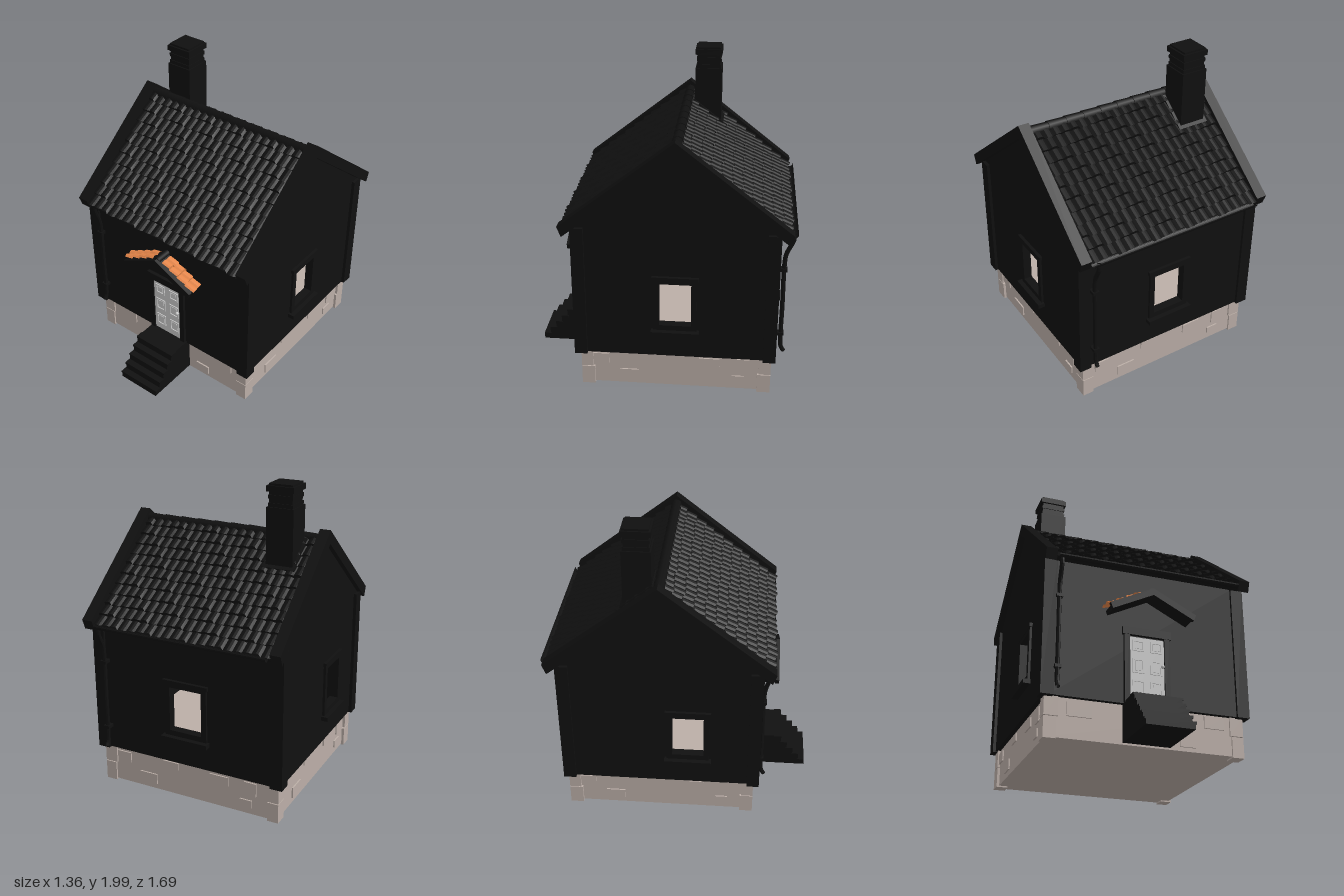
import * as THREE from 'three';

const mat = (color, extra = {}) => new THREE.MeshStandardMaterial({ color, ...extra });
const dark = mat(0x101010);
const darkTile = mat(0x101010, { flatShading: true, side: THREE.DoubleSide });
const orangeTile = mat(0xe8874a, { flatShading: true, side: THREE.DoubleSide });
const stone = mat(0xbbaea7);
const grey = mat(0xcccccc);

const ZC = -0.105;      // depth of the ridge line
const SLOPE = 0.787;    // roof rise over run
const RIDGE = 1.705;

function add(parent, name, geometry, material, x = 0, y = 0, z = 0) {
  const m = new THREE.Mesh(geometry, material);
  m.name = name;
  m.position.set(x, y, z);
  parent.add(m);
  return m;
}
const box = (parent, name, material, w, h, d, x, y, z) =>
  add(parent, name, new THREE.BoxGeometry(w, h, d), material, x, y, z);

function extrude(points, depth, hole) {
  const toV = (p) => new THREE.Vector2(p[0], p[1]);
  const shape = new THREE.Shape(points.map(toV));
  if (hole) shape.holes.push(new THREE.Path(hole.map(toV)));
  return new THREE.ExtrudeGeometry(shape, { depth, bevelEnabled: false });
}
const rect = (x0, y0, x1, y1) => [[x0, y0], [x1, y0], [x1, y1], [x0, y1]];

// Inverted V with square-cut ends, apex at (0, 0)
const chevron = (run, slope, drop, cut) => [
  [0, 0], [-run, -run * slope], [-run + cut, -(run - cut) * slope - drop],
  [0, -drop], [run - cut, -(run - cut) * slope - drop], [run, -run * slope],
];

// Overlapping rows of rounded tiles: x across, +z down the slope, y outward
function tileField(width, length, rows, cols, lift) {
  const seg = 4, n = cols * seg, pos = [], idx = [];
  for (let r = 0; r < rows; r++) {
    for (let e = 0; e < 2; e++) {
      for (let i = 0; i <= n; i++) {
        const tile = Math.floor(i / seg);
        const jitter = ((tile * 7 + r * 5) % 4 - 1.5) * 0.005 * e;
        const wave = Math.sin((i % seg) / seg * Math.PI) * lift * 0.7;
        pos.push((i / n - 0.5) * width, wave + e * lift, (r + e) * length / rows + jitter);
      }
    }
  }
  for (let j = 0; j < rows * 2 - 1; j++) {
    for (let i = 0; i < n; i++) {
      const a = j * (n + 1) + i, b = a + n + 1;
      idx.push(a, b, b + 1, a, b + 1, a + 1);
    }
  }
  const g = new THREE.BufferGeometry();
  g.setAttribute('position', new THREE.Float32BufferAttribute(pos, 3));
  g.setIndex(idx);
  g.computeVertexNormals();
  return g;
}

function foundation(root) {
  const g = new THREE.Group();
  g.name = 'foundation';
  g.position.z = -0.11;
  root.add(g);
  box(g, 'foundationBlock', stone, 1.21, 0.255, 1.19, 0, 0.1425, 0);
  // raised stones: [along, height, width, tall]
  const front = [[-0.41, 0.19, 0.155, 0.085], [0.435, 0.21, 0.13, 0.08], [0.26, 0.07, 0.1, 0.06]];
  const side = [[-0.48, 0.195, 0.1, 0.07], [-0.13, 0.215, 0.105, 0.05], [0.215, 0.2, 0.13, 0.06],
    [0.43, 0.19, 0.08, 0.09], [-0.3, 0.085, 0.125, 0.07], [0.4, 0.085, 0.08, 0.05]];
  [front, side, side, side].forEach((list, k) => {
    const face = new THREE.Group();
    face.name = 'wallStones';
    face.rotation.y = k * Math.PI / 2;
    g.add(face);
    for (const [u, y, w, h] of list) box(face, 'raisedStone', stone, w, h, 0.03, u, y, k % 2 ? 0.599 : 0.589);
  });
  // corner stones alternate their long side
  for (const sx of [-1, 1]) for (const sz of [-1, 1]) for (let i = 0; i < 2; i++) {
    const w = i ? 0.085 : 0.075, d = i ? 0.075 : 0.085;
    box(g, 'cornerStone', stone, w, 0.128, d, sx * (0.622 - w / 2), 0.07 + i * 0.133, sz * (0.606 - d / 2));
  }
}

function windowUnit(root, x, z, turn, w) {
  const g = new THREE.Group();
  g.name = 'window';
  g.position.set(x, 0, z);
  g.rotation.y = turn;
  root.add(g);
  const o = w / 2;
  add(g, 'windowCasing', extrude(rect(-o - 0.035, 0.45, o + 0.035, 0.81), 0.055, rect(-o, 0.485, o, 0.775)), dark, 0, 0, -0.04);
  box(g, 'windowSill', dark, w + 0.1, 0.028, 0.07, 0, 0.435, 0.01);
  box(g, 'windowHead', dark, w + 0.09, 0.025, 0.04, 0, 0.81, 0);
}

function walls(root) {
  // gable walls with a window opening, drawn as (z, y)
  for (const [s, wz] of [[1, -0.107], [-1, 0.07]]) {
    const f = ZC + 0.62, b = ZC - 0.62;
    const outline = [[b, 0.255], [f, 0.255], [f, 1.13], [ZC, 1.62], [b, 1.13]];
    const m = add(root, 'gableWall', extrude(outline, 0.04, rect(wz - 0.1, 0.485, wz + 0.1, 0.775)), dark, s > 0 ? 0.635 : -0.595);
    m.rotation.y = -Math.PI / 2;
    windowUnit(root, s * 0.635, wz, s * Math.PI / 2, 0.2);
  }
  add(root, 'backWall', extrude(rect(-0.6, 0.255, 0.6, 1.13), 0.04, rect(-0.11, 0.485, 0.11, 0.775)), dark, 0, 0, ZC - 0.62);
  windowUnit(root, 0, ZC - 0.62, Math.PI, 0.22);
  box(root, 'frontWall', dark, 1.2, 0.875, 0.04, 0, 0.6925, ZC + 0.6);
  for (const sx of [-1, 1]) for (const sz of [-1, 1]) {
    box(root, 'cornerBoard', dark, 0.08, 0.88, 0.08, sx * 0.615, 0.69, ZC + sz * 0.597);
  }
}

function roof(root) {
  const angle = Math.atan(SLOPE);
  const deck = add(root, 'roofDeck', extrude(chevron(0.69, SLOPE, 0.04, 0.02), 1.21), dark, 0.605, RIDGE - 0.05, ZC);
  deck.rotation.y = -Math.PI / 2;
  for (const s of [-1, 1]) {
    const barge = add(root, 'bargeBoard', extrude(chevron(0.71, SLOPE, 0.085, 0.025), 0.07), dark, s > 0 ? 0.675 : -0.595, RIDGE, ZC);
    barge.rotation.y = -Math.PI / 2;
    // tiled slope
    const half = new THREE.Group();
    half.name = 'roofSlope';
    half.position.set(0, RIDGE - 0.05, ZC);
    half.rotation.y = s > 0 ? 0 : Math.PI;
    root.add(half);
    add(half, 'roofTiles', tileField(1.2, 0.88, 11, 20, 0.018), darkTile).rotation.x = angle;
  }
  // rounded ridge tiles
  for (let i = 0; i < 10; i++) {
    const cap = new THREE.CylinderGeometry(0.032, 0.037, 0.125, 8);
    add(root, 'ridgeTile', cap, dark, -0.54 + i * 0.12, RIDGE - 0.063, ZC).rotation.z = Math.PI / 2;
  }
}

function rainwater(root) {
  // a gutter along each eave, a downpipe at opposite corners
  for (const [s, gz, pz, x] of [[1, 0.575, 0.537, -0.56], [-1, -0.815, -0.768, 0.56]]) {
    const gutter = new THREE.CylinderGeometry(0.025, 0.025, 1.18, 10, 1, true, Math.PI, Math.PI);
    add(root, 'gutter', gutter, darkTile, 0.01, 1.125, gz).rotation.z = Math.PI / 2;
    const path = [[1.11, gz], [1.07, gz], [0.98, pz + s * 0.008], [0.93, pz], [0.6, pz], [0.35, pz], [0.32, pz + s * 0.005], [0.29, pz + s * 0.022]]
      .map(([y, z]) => new THREE.Vector3(x, y, z));
    add(root, 'downpipe', new THREE.TubeGeometry(new THREE.CatmullRomCurve3(path), 40, 0.014, 8), darkTile);
    for (const y of [0.42, 0.87]) box(root, 'pipeBracket', dark, 0.04, 0.02, 0.05, x, y, pz - s * 0.008);
  }
}

function chimney(root) {
  const g = new THREE.Group();
  g.name = 'chimney';
  g.position.set(-0.428, 0, -0.24);
  root.add(g);
  box(g, 'chimneyStack', dark, 0.175, 0.5, 0.175, 0, 1.61, 0);
  for (let i = 0; i < 4; i++) {
    const w = i % 2 ? 0.15 : 0.16;
    box(g, 'neckCourse', dark, w, 0.024, w, 0, 1.872 + i * 0.024, 0);
  }
  box(g, 'chimneyCap', dark, 0.177, 0.035, 0.177, 0, 1.97, 0);
  box(g, 'chimneyTop', dark, 0.155, 0.013, 0.155, 0, 1.9935, 0);
  box(g, 'chimneyFlashing', dark, 0.21, 0.025, 0.25, 0, RIDGE - 0.035 - 0.135 * SLOPE, 0).rotation.x = -Math.atan(SLOPE);
}

function entrance(root) {
  // door with six raised panels
  const door = new THREE.Group();
  door.name = 'door';
  door.position.set(-0.005, 0, 0.515);
  root.add(door);
  box(door, 'doorLeaf', grey, 0.22, 0.41, 0.02, 0, 0.475, 0);
  for (const x of [-0.055, 0.058]) for (const [y, h] of [[0.36, 0.09], [0.495, 0.09], [0.625, 0.07]]) {
    add(door, 'panelMoulding', extrude(rect(-0.037, -h / 2, 0.037, h / 2), 0.007, rect(-0.027, -h / 2 + 0.01, 0.027, h / 2 - 0.01)), grey, x, y, 0.009);
    box(door, 'doorPanel', grey, 0.042, h - 0.032, 0.01, x, y, 0.009);
  }
  add(door, 'doorKnob', new THREE.SphereGeometry(0.012, 12, 8), grey, 0.095, 0.505, 0.025);
  for (const s of [-1, 1]) box(root, 'doorJamb', dark, 0.035, 0.45, 0.03, -0.005 + s * 0.1275, 0.485, 0.52);
  box(root, 'doorHead', dark, 0.31, 0.05, 0.035, -0.005, 0.715, 0.52);

  // steps
  for (let i = 0; i < 5; i++) {
    const front = 0.85 - i * 0.042, top = 0.07 + i * 0.049;
    box(root, 'step', dark, 0.295, top - 0.025, front - 0.49, 0, (top + 0.025) / 2, (front + 0.49) / 2);
    box(root, 'stepTread', dark, 0.307, 0.015, 0.05, 0, top - 0.0075, front - 0.025);
  }

  // small tiled canopy over the door
  const canopy = new THREE.Group();
  canopy.name = 'canopy';
  root.add(canopy);
  add(canopy, 'canopyBoard', extrude(chevron(0.275, 0.5, 0.045, 0.015), 0.025), dark, 0.002, 0.97, 0.61);
  add(canopy, 'canopyDeck', extrude(chevron(0.265, 0.5, 0.03, 0.01), 0.1), dark, 0.002, 0.958, 0.512);
  for (const s of [-1, 1]) {
    const side = new THREE.Group();
    side.name = 'canopySlope';
    side.position.set(0.002 + s * 0.035, 0.953, 0.565);
    side.rotation.y = s * Math.PI / 2;
    canopy.add(side);
    add(side, 'canopyTiles', tileField(0.09, 0.268, 4, 2, 0.014), orangeTile).rotation.x = Math.atan(0.5);
  }
  const cap = add(canopy, 'canopyRidge', new THREE.CylinderGeometry(0.022, 0.022, 0.1, 8), dark, 0.002, 0.958, 0.565);
  cap.rotation.x = Math.PI / 2;
}

export function createModel() {
  const root = new THREE.Group();
  root.name = 'house';
  for (const part of [foundation, walls, roof, rainwater, chimney, entrance]) part(root);
  return root;
}
